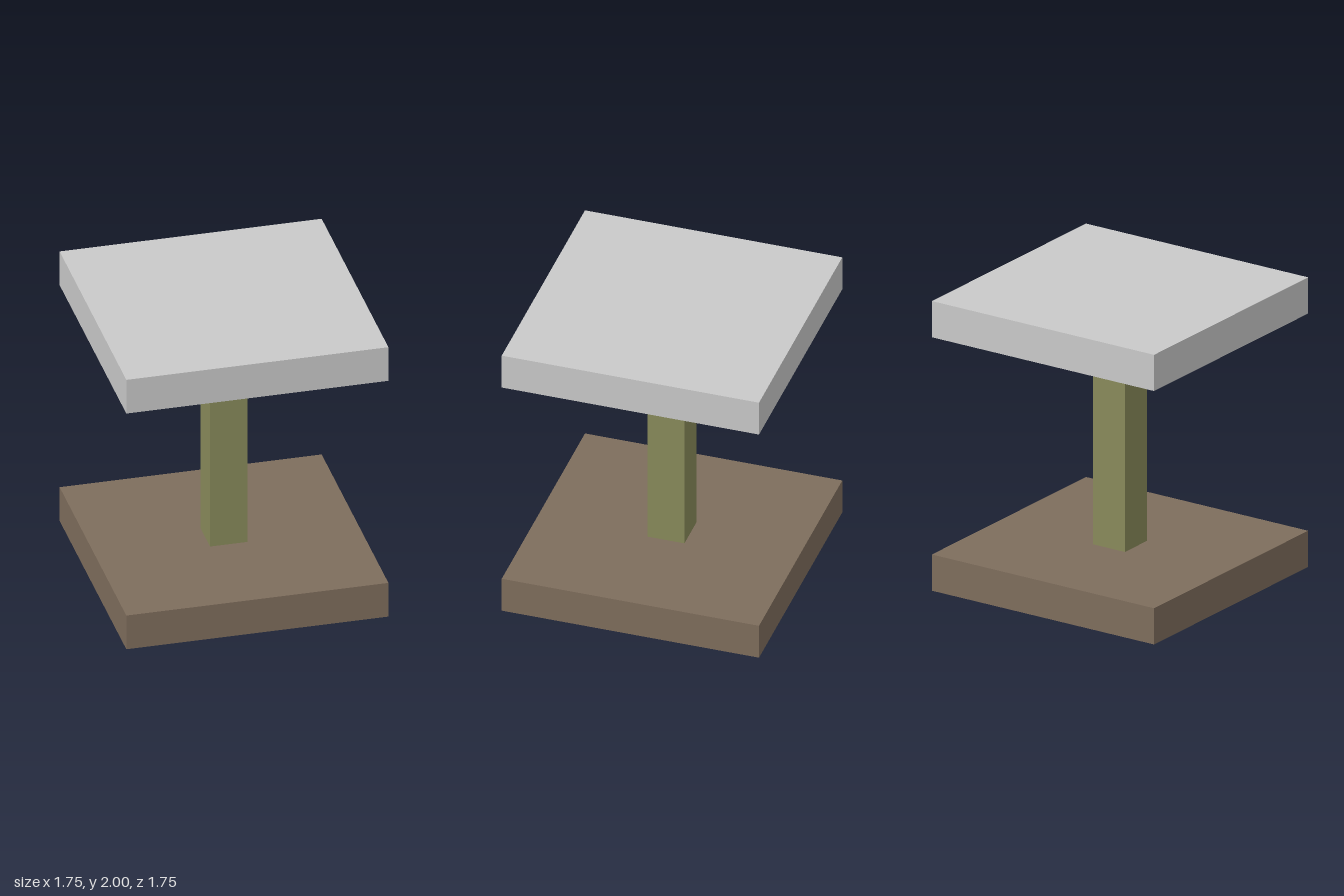
import * as THREE from 'three';

function material(name, color) {
  const m = new THREE.MeshStandardMaterial({ color });
  m.name = name;
  return m;
}

// Square block of the given width, spanning bottom to top in y
function block(name, width, bottom, top, mat) {
  const mesh = new THREE.Mesh(new THREE.BoxGeometry(width, top - bottom, width), mat);
  mesh.name = name;
  mesh.position.y = (bottom + top) / 2;
  return mesh;
}

export function createModel() {
  const group = new THREE.Group();
  group.name = 'pedestalTable';
  group.add(
    block('base', 1.75, 0, 0.25, material('brown', 0x7e6d5c)),
    block('column', 0.25, 0.25, 1.75, material('olive', 0x888a5a)),
    block('tableTop', 1.75, 1.75, 2, material('lightGrey', 0xc9c9c9)),
  );
  return group;
}
